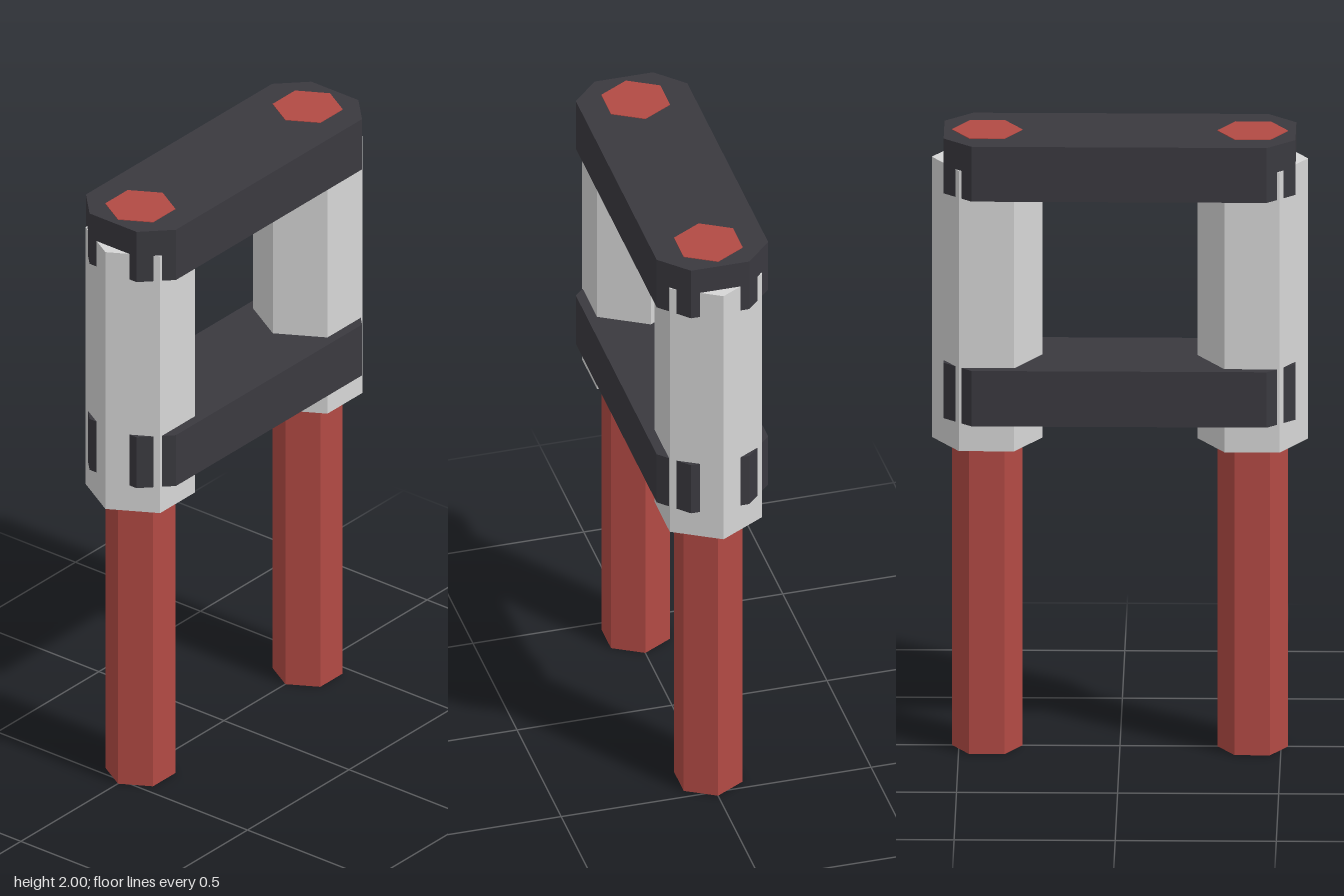
import * as THREE from 'three';

const mat = (name, color) => {
  const m = new THREE.MeshStandardMaterial({ color, flatShading: true });
  m.name = name;
  return m;
};

export function createModel() {
  const group = new THREE.Group();
  group.name = 'twinRodFrame';
  const red = mat('red', 0xb24a44);
  const grey = mat('lightGrey', 0xd6d6d6);
  const dark = mat('charcoal', 0x3a393f);

  const add = (name, geometry, material, y, z = 0) => {
    const mesh = new THREE.Mesh(geometry, material);
    mesh.name = name;
    mesh.position.set(0, y, z);
    group.add(mesh);
  };

  // hexagonal prism with a corner pointing along z
  const hexPrism = (radius, height) => new THREE.CylinderGeometry(radius, radius, height, 6);

  // rods and the sleeves around them, front and back
  for (const [side, z] of [['front', 0.412], ['back', -0.412]]) {
    add(side + 'Rod', hexPrism(0.11, 2), red, 1, z);
    add(side + 'Sleeve', hexPrism(0.172, 0.91), grey, 1.455, z);
  }

  // long plates with chamfered corners
  const outline = new THREE.Shape([
    [0.18, -0.458], [0.18, 0.458], [0.094, 0.546], [-0.094, 0.546],
    [-0.18, 0.458], [-0.18, -0.458], [-0.094, -0.546], [0.094, -0.546],
  ].map(([x, y]) => new THREE.Vector2(x, y)));
  const plate = (height) =>
    new THREE.ExtrudeGeometry(outline, { depth: height, bevelEnabled: false }).rotateX(-Math.PI / 2);

  // the top plate stops just below the rod ends, so they show through
  add('topPlate', plate(0.178), dark, 1.82);
  add('lowerPlate', plate(0.18), dark, 1.09);

  return group;
}
